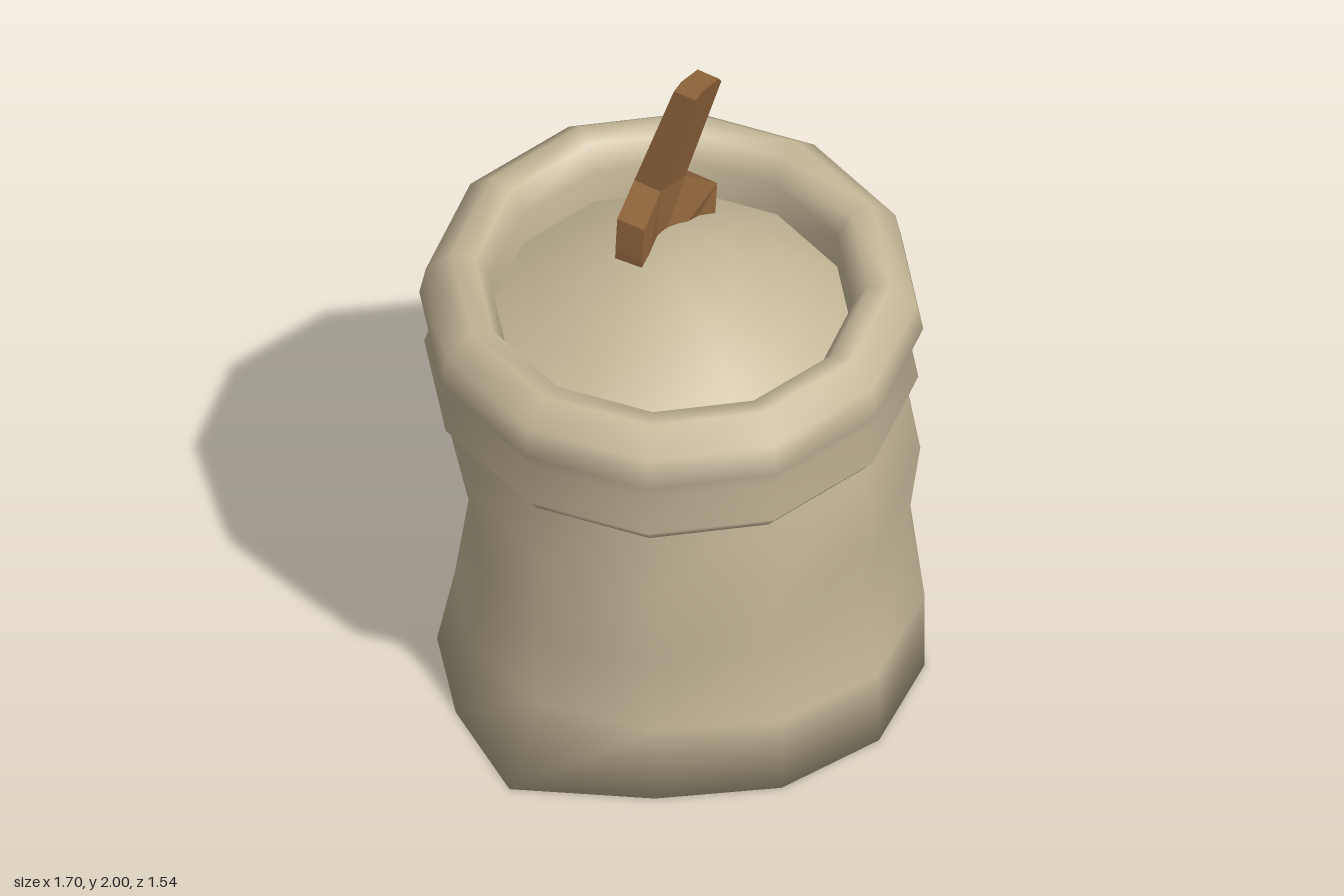
import * as THREE from 'three';
import { mergeVertices } from 'three/addons/utils/BufferGeometryUtils.js';

const SIDES = 12;

// Skin a list of 12-point rings into one smooth surface
function loft(rings) {
  const pos = [], index = [];
  rings.forEach((ring) => {
    for (let j = 0; j < SIDES; j++) pos.push(...ring(j));
  });
  for (let i = 0; i < rings.length - 1; i++) {
    for (let j = 0; j < SIDES; j++) {
      const k = (j + 1) % SIDES;
      const a = i * SIDES + j, b = i * SIDES + k, c = a + SIDES, d = b + SIDES;
      index.push(a, c, b, b, c, d);
    }
  }
  let g = new THREE.BufferGeometry();
  g.setAttribute('position', new THREE.Float32BufferAttribute(pos, 3));
  g.setIndex(index);
  g = mergeVertices(g, 1e-5);
  g.computeVertexNormals();
  return g;
}

// Lopsided ring: radii towards +x, -x, +z, -z, and a tilt that rises to +x and -z
function ring({ y, xp, xm, zp, zm, tilt = 1, corner = 0, dent = 1 }) {
  return (j) => {
    const t = (j / SIDES) * Math.PI * 2;
    let x = Math.cos(t), z = Math.sin(t);
    x *= x > 0 ? xp : xm;
    z *= z > 0 ? zp : zm;
    if (j === 7 || j === 8) { x *= dent; z *= dent; }
    if (corner && j % 6 === 0) x = Math.sign(x) * corner;
    return [x, y + tilt * (0.1 * x - 0.08 * z), z];
  };
}
const round = (r, y) => ring({ y, xp: r, xm: r, zp: r, zm: r });

export function createModel() {
  const group = new THREE.Group();
  const cloth = new THREE.MeshStandardMaterial({ color: 0xc4b797 });
  const wood = new THREE.MeshStandardMaterial({ color: 0x8f643b });
  cloth.name = 'cloth';
  wood.name = 'wood';
  wood.flatShading = true;

  const add = (name, geometry, material) => {
    const mesh = new THREE.Mesh(geometry, material);
    mesh.name = name;
    group.add(mesh);
  };

  // Sagging bag with two pinched bottom corners
  add('sackBody', loft([
    ring({ y: 0.04, xp: 0, xm: 0, zp: 0, zm: 0, tilt: 0 }),
    ring({ y: 0, xp: 0.77, xm: 0.73, zp: 0.775, zm: 0.71, tilt: 0, corner: 0.85 }),
    ring({ y: 0.26, xp: 0.785, xm: 0.71, zp: 0.77, zm: 0.68, tilt: 0.15, dent: 0.96 }),
    ring({ y: 0.54, xp: 0.815, xm: 0.72, zp: 0.69, zm: 0.675, tilt: 0.6, dent: 0.9 }),
    ring({ y: 0.84, xp: 0.775, xm: 0.68, zp: 0.755, zm: 0.755, dent: 0.95 }),
    ring({ y: 1.14, xp: 0.71, xm: 0.66, zp: 0.7, zm: 0.71 }),
  ]), cloth);

  // Rolled cuff, from its lower edge over the top and down inside
  const cuff = [
    [0.64, 1.1], [0.71, 1.065], [0.755, 1.12], [0.72, 1.225], [0.77, 1.305],
    [0.75, 1.395], [0.67, 1.462], [0.6, 1.45], [0.555, 1.38], [0.555, 1.2],
  ];
  add('rolledCuff', loft(cuff.map(([r, y]) => round(r, y))), cloth);

  // Heaped filling
  add('contents', loft([
    round(0.57, 1.26), round(0.4, 1.36), round(0.2, 1.44), round(0, 1.47),
  ]), cloth);

  // Scoop: flat outline, bent across the blade and leaning forward along the handle
  const outline = [
    [-0.05, 1.36], [0.1, 1.36], [0.26, 1.36], [0.36, 1.36], [0.37, 1.52],
    [0.26, 1.6], [0.32, 1.965], [0.3, 1.99], [0.21, 2], [0.18, 1.98],
    [0.12, 1.63], [-0.02, 1.585], [-0.04, 1.48],
  ].map(([x, y]) => new THREE.Vector2(x, y));
  const scoop = new THREE.ExtrudeGeometry(new THREE.Shape(outline), { depth: 0.1, bevelEnabled: false });
  const p = scoop.attributes.position;
  for (let i = 0; i < p.count; i++) {
    const x = p.getX(i), y = p.getY(i);
    const up = Math.max(0, y - 1.6);
    const bend = up > 0.04 ? 0 : 0.37 * Math.max(0, 0.1 - x, x - 0.26);
    p.setZ(i, p.getZ(i) * (1 - 0.5 * up) - 0.232 + bend + 0.3 * up);
  }
  scoop.computeVertexNormals();
  add('scoop', scoop, wood);

  return group;
}
